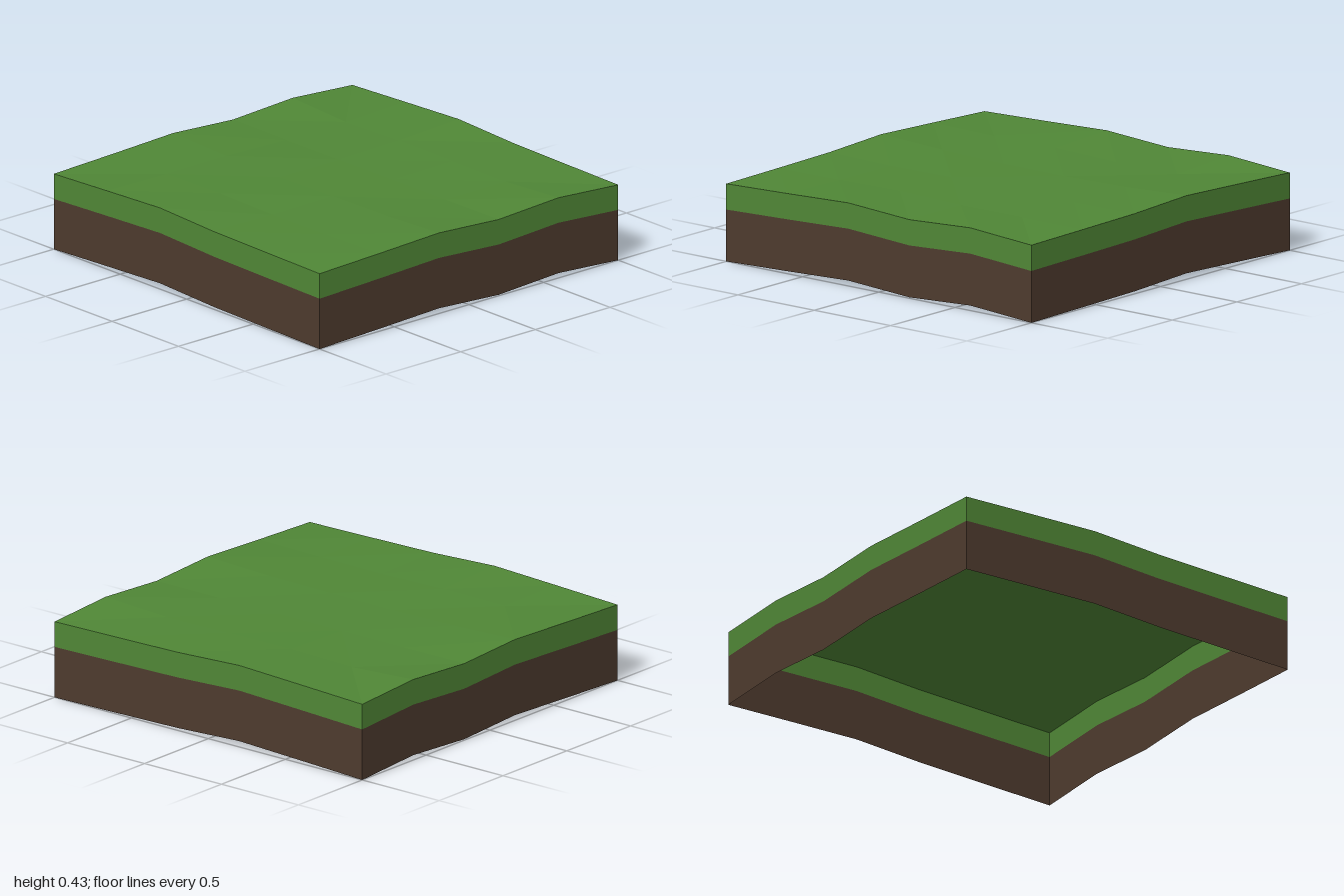
import * as THREE from 'three';

const grass = new THREE.MeshStandardMaterial({ color: 0x508736, flatShading: true, side: THREE.DoubleSide });
grass.name = 'grassGreen';
const soil = new THREE.MeshStandardMaterial({ color: 0x4e3b2e, flatShading: true, side: THREE.DoubleSide });
soil.name = 'soilBrown';

const N = 5;                                  // cells per side
const at = (i) => -1 + (2 * i) / N;

// Ground heights, one row per z from back to front; opposite edges match
const heights = [
  [0.400, 0.416, 0.431, 0.413, 0.406, 0.400],
  [0.426, 0.404, 0.412, 0.410, 0.406, 0.426],
  [0.405, 0.403, 0.404, 0.405, 0.404, 0.405],
  [0.428, 0.413, 0.406, 0.410, 0.414, 0.428],
  [0.413, 0.411, 0.414, 0.406, 0.408, 0.413],
  [0.400, 0.416, 0.431, 0.413, 0.406, 0.400],
];
// Cells (column, row) split from back left to front right
const backslash = ['0,0', '1,1', '0,3', '2,2', '3,3'];

const point = (i, j, drop = 0) => [at(i), heights[j][i] - drop, at(j)];

function meshFrom(name, triangles, material) {
  const geometry = new THREE.BufferGeometry();
  geometry.setAttribute('position', new THREE.Float32BufferAttribute(triangles.flat(), 3));
  geometry.computeVertexNormals();
  const mesh = new THREE.Mesh(geometry, material);
  mesh.name = name;
  return mesh;
}

// Faceted grass surface
function makeTop() {
  const tris = [];
  for (let j = 0; j < N; j++) {
    for (let i = 0; i < N; i++) {
      const a = point(i, j), b = point(i, j + 1), c = point(i + 1, j + 1), d = point(i + 1, j);
      if (backslash.includes(`${i},${j}`)) tris.push(a, b, c, a, c, d);
      else tris.push(a, b, d, b, c, d);
    }
  }
  return meshFrom('grassTop', tris, grass);
}

// Strip following the border, between two depths below the surface
function makeBand(name, upper, lower, material) {
  const rim = [];
  for (let k = 0; k < N; k++) rim.push([k, N]);        // front
  for (let k = 0; k < N; k++) rim.push([N, N - k]);    // left side
  for (let k = 0; k < N; k++) rim.push([N - k, 0]);    // back
  for (let k = 0; k < N; k++) rim.push([0, k]);        // right side
  const tris = [];
  rim.forEach(([i, j], k) => {
    const [m, n] = rim[(k + 1) % rim.length];
    const a = point(i, j, lower), b = point(m, n, lower);
    const c = point(m, n, upper), d = point(i, j, upper);
    tris.push(a, b, c, a, c, d);
  });
  return meshFrom(name, tris, material);
}

export function createModel() {
  const tile = new THREE.Group();
  tile.name = 'groundTile';
  tile.add(
    makeTop(),
    makeBand('grassEdge', 0, 0.133, grass),
    makeBand('soilEdge', 0.133, 0.4, soil),
  );
  return tile;
}
